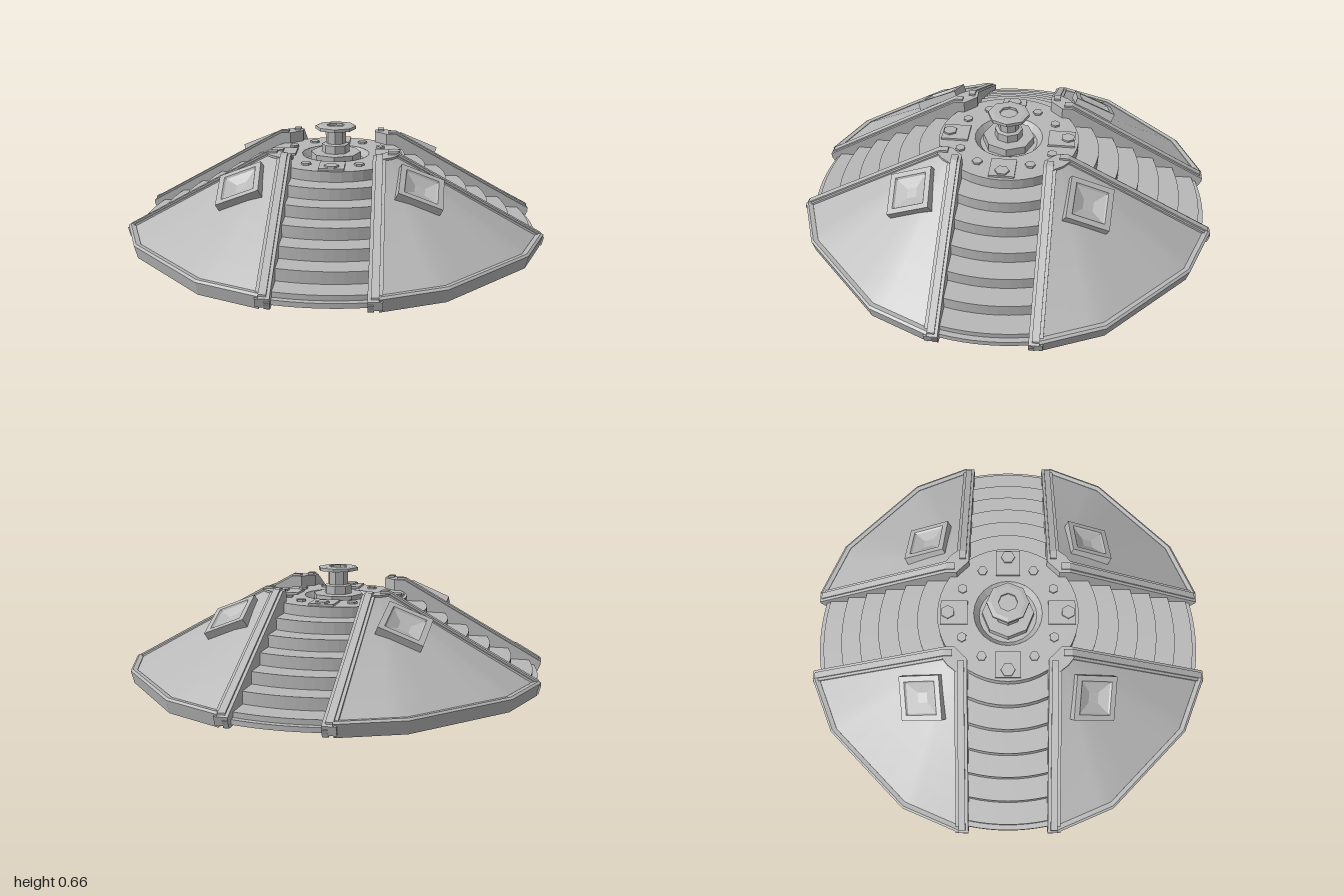
import * as THREE from 'three';

const metal = new THREE.MeshStandardMaterial({ color: 0xb8b8b8, side: THREE.DoubleSide });
metal.name = 'greyMetal';

function add(parent, name, geometry, x = 0, y = 0, z = 0) {
  const mesh = new THREE.Mesh(geometry, metal);
  mesh.name = name;
  mesh.position.set(x, y, z);
  parent.add(mesh);
  return mesh;
}

function flat(geometry) {
  const g = geometry.index ? geometry.toNonIndexed() : geometry;
  g.computeVertexNormals();
  return g;
}

// Surface through rows of points
function loft(rows) {
  const n = rows[0].length, index = [];
  for (let i = 0; i < rows.length - 1; i++) {
    for (let j = 0; j < n - 1; j++) {
      const a = i * n + j, b = a + n;
      index.push(a, b, a + 1, b, b + 1, a + 1);
    }
  }
  const g = new THREE.BufferGeometry();
  g.setAttribute('position', new THREE.Float32BufferAttribute(rows.flat(2), 3));
  g.setIndex(index);
  g.computeVertexNormals();
  return g;
}

const shapeOf = pts => new THREE.Shape(pts.map(p => new THREE.Vector2(...p)));
const extrude = (shape, depth) =>
  new THREE.ExtrudeGeometry(shape, { depth, bevelEnabled: false, curveSegments: 16 });
const lathe = (pts, sides) => flat(new THREE.LatheGeometry(pts.map(p => new THREE.Vector2(...p)), sides));

// Staircase of arcs about the central axis, open underneath
function stairGeometry() {
  const profile = [[0.34, 0.52]];
  for (let i = 0; i < 6; i++) {
    const y = 0.47 - i * 0.055;
    profile.push([0.34 + i * 0.1035, y], [0.34 + (i + 1) * 0.1035, y]);
  }
  profile.push([0.961, 0.172], [0.985, 0.172], [0.985, 0.15]);
  const rows = profile.map(([r, y]) => {
    const row = [];
    for (let j = 0; j <= 10; j++) {
      const s = -0.232 + j * 0.0464;
      row.push([Math.sqrt(r * r - s * s), y, s]);
    }
    return row;
  });
  return flat(loft(rows));
}

// One stair with a wall, rail and ridge on each side, running along +x
function createArm() {
  const arm = new THREE.Group();
  arm.name = 'stairArm';
  add(arm, 'stairs', stairGeometry());
  const parts = [
    ['sideWall', 0.19, 0.025, [[0.25, 0.14], [0.985, 0.14], [1, 0.175], [0.3, 0.56], [0.25, 0.56]]],
    ['rail', 0.19, 0.06, [[0.25, 0.535], [0.29, 0.535], [0.99, 0.15], [1, 0.19], [0.3, 0.576], [0.25, 0.576]]],
    ['railRidge', 0.204, 0.032, [[0.26, 0.56], [0.3, 0.56], [0.99, 0.18], [0.99, 0.204], [0.3, 0.586], [0.26, 0.586]]],
  ];
  for (const [name, start, depth, pts] of parts) {
    const g = extrude(shapeOf(pts), depth);
    add(arm, name, g, 0, 0, start);
    add(arm, name, g, 0, 0, -start - depth);
  }
  // Bolted plate and small bolts on the platform
  add(arm, 'boltPlate', new THREE.BoxGeometry(0.13, 0.012, 0.12), 0.26, 0.524, 0);
  add(arm, 'largeBolt', flat(new THREE.CylinderGeometry(0.034, 0.034, 0.014, 6)), 0.29, 0.532, 0);
  for (const s of [-1, 1]) {
    add(arm, 'smallBolt', flat(new THREE.CylinderGeometry(0.024, 0.024, 0.012, 6)), 0.22, 0.524, s * 0.125);
  }
  return arm;
}

// Corner panel with rim, window and chamfered inner post
function createQuadrant() {
  const q = new THREE.Group();
  q.name = 'cornerSection';
  const outline = [[0.235, 1], [0.51, 0.885], [0.885, 0.51], [1, 0.235]];
  const top = [[0.24, 0.31], [0.265, 0.28], [0.28, 0.265], [0.31, 0.24]];
  const inset = ([x, z], k) => [0.235 + (x - 0.235) * k, 0.235 + (z - 0.235) * k];

  const rows = [];
  for (let i = 0; i <= 6; i++) {
    const t = i / 6, row = [];
    for (let j = 0; j <= 12; j++) {
      const a = Math.min(2, Math.floor(j / 4)), f = j / 4 - a;
      const mix = (p, k) => p[a][k] + (p[a + 1][k] - p[a][k]) * f;
      const low = inset([mix(outline, 0), mix(outline, 1)], 0.97);
      row.push([
        mix(top, 0) + (low[0] - mix(top, 0)) * t,
        0.568 - 0.373 * t,
        mix(top, 1) + (low[1] - mix(top, 1)) * t,
      ]);
    }
    rows.push(row);
  }
  add(q, 'panel', loft(rows));

  const section = [[1, 0.2], [0.98, 0.14], [0.95, 0.14], [0.955, 0.205], [0.985, 0.208], [1, 0.2]];
  add(q, 'rim', flat(loft(section.map(([k, y]) => outline.map(p => {
    const [x, z] = inset(p, k);
    return [x, y, z];
  })))));

  // Triangular post closing the gap between the two walls
  const post = extrude(shapeOf([[0.25, -0.19], [0.25, -0.25], [0.19, -0.25]]), 0.436);
  post.rotateX(-Math.PI / 2);
  add(q, 'cornerPost', post, 0, 0.14, 0);
  const cap = extrude(shapeOf([[0.24, -0.24], [0.31, -0.24], [0.28, -0.28], [0.24, -0.31]]), 0.01);
  cap.rotateX(-Math.PI / 2);
  add(q, 'panelTop', cap, 0, 0.566, 0);

  // Square framed window with a sunken centre
  const win = add(q, 'window', lathe(
    [[0, -0.03], [0.15, -0.03], [0.15, 0.03], [0.113, 0.03], [0.104, 0.022], [0.035, 0.004], [0, 0.004]], 4,
  ), 0.402, 0.455, 0.402);
  win.rotation.set(0.55, Math.PI / 4, 0, 'YXZ');
  return q;
}

// Cross-shaped platform with arced ends and a round hole
function platformGeometry() {
  const pts = [], a = Math.asin(0.19 / 0.342);
  for (let k = 0; k < 4; k++) {
    const c = k * Math.PI / 2;
    for (let j = 0; j <= 8; j++) {
      const t = c - a + j * a / 4;
      pts.push([0.342 * Math.cos(t), 0.342 * Math.sin(t)]);
    }
    for (const [x, y] of [[0.25, 0.19], [0.19, 0.25]]) {
      pts.push([x * Math.cos(c) - y * Math.sin(c), x * Math.sin(c) + y * Math.cos(c)]);
    }
  }
  const shape = shapeOf(pts);
  shape.holes.push(new THREE.Path().absarc(0, 0, 0.165, 0, Math.PI * 2, true));
  return extrude(shape, 0.05).rotateX(-Math.PI / 2);
}

export function createModel() {
  const model = new THREE.Group();
  model.name = 'steppedDome';
  for (let k = 0; k < 4; k++) {
    for (const part of [createArm(), createQuadrant()]) {
      part.rotation.y = k * Math.PI / 2;
      model.add(part);
    }
  }
  add(model, 'baseBlock', new THREE.BoxGeometry(0.35, 0.47, 0.35), 0, 0.235, 0);
  add(model, 'platform', platformGeometry(), 0, 0.47, 0);

  // Sunken dish and the capped central spindle
  add(model, 'dish', lathe([[0.166, 0.521], [0.14, 0.49], [0, 0.49]], 24));
  add(model, 'spindle', lathe([
    [0.125, 0.485], [0.125, 0.53], [0.068, 0.53], [0.068, 0.57], [0.05, 0.575], [0.05, 0.645],
    [0.1, 0.645], [0.1, 0.66], [0.08, 0.664], [0.045, 0.664], [0.045, 0.652], [0, 0.652],
  ], 8));
  return model;
}
